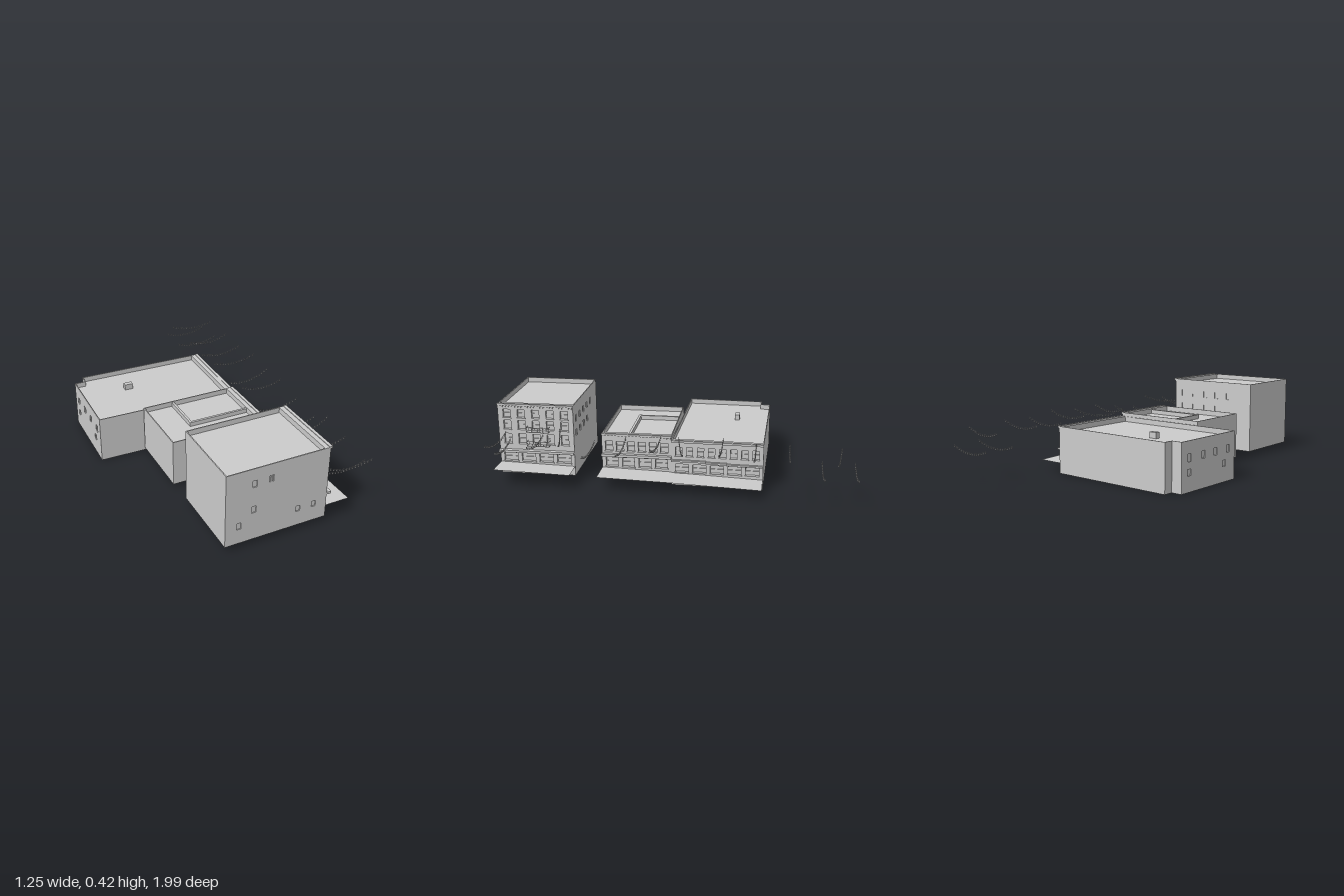
import * as THREE from 'three';

const mat = new THREE.MeshStandardMaterial({ color: 0xcccccc, side: THREE.DoubleSide, flatShading: true });
const smooth = new THREE.MeshStandardMaterial({ color: 0xcccccc });

function add(parent, name, geo, x = 0, y = 0, z = 0, m = mat) {
  const mesh = new THREE.Mesh(geo, m);
  mesh.name = name;
  mesh.position.set(x, y, z);
  parent.add(mesh);
  return mesh;
}

// Box given by its minimum and maximum corners
function block(parent, name, x0, y0, z0, x1, y1, z1) {
  return add(parent, name, new THREE.BoxGeometry(x1 - x0, y1 - y0, z1 - z0),
    (x0 + x1) / 2, (y0 + y1) / 2, (z0 + z1) / 2);
}

// Evenly spaced window openings: [centre, bottom, width, height]
function row(count, start, end, y, w, h) {
  return Array.from({ length: count }, (_, i) =>
    [start + (end - start) * (i + 0.5) / count, y, w, h]);
}

// Wall from a to b (left to right seen from outside) with recessed windows
function wall(parent, name, a, b, y0, y1, thick, windows = [], sills = false) {
  const dx = b[0] - a[0], dz = b[1] - a[1], len = Math.hypot(dx, dz);
  const g = new THREE.Group();
  g.name = name;
  g.position.set(a[0], 0, a[1]);
  g.rotation.y = Math.atan2(-dz, dx);
  parent.add(g);
  const shape = new THREE.Shape([[0, y0], [len, y0], [len, y1], [0, y1]].map(p => new THREE.Vector2(...p)));
  const recess = Math.min(thick * 0.9, 0.014);
  for (const [c, y, w, h] of windows) {
    const l = c - w / 2, r = c + w / 2;
    shape.holes.push(new THREE.Path([[l, y], [l, y + h], [r, y + h], [r, y]].map(p => new THREE.Vector2(...p))));
    add(g, 'windowPane', new THREE.PlaneGeometry(w, h), c, y + h / 2, -recess);
    if (sills) {
      block(g, 'windowSill', l - 0.004, y - 0.005, -0.004, r + 0.004, y, 0.006);
      block(g, 'windowRail', l, y + h / 2 - 0.0015, -recess, r, y + h / 2 + 0.0015, -recess + 0.005);
    }
  }
  const geo = new THREE.ExtrudeGeometry(shape, { depth: thick, bevelEnabled: false });
  geo.translate(0, 0, -thick);
  add(g, name + 'Surface', geo);
  return g;
}

// Open-bottomed building: street face on local x = 0, running along local z
function building(root, o) {
  const g = new THREE.Group();
  g.name = o.name;
  g.position.set(o.x, 0, o.z);
  g.rotation.y = o.turn;
  root.add(g);
  const { outline, length: L, y0, y1 } = o;
  const names = ['facade', 'backWall', ...(outline.length > 4 ? ['notchWall', 'notchReturn'] : []), 'farWall', 'frontWall'];
  outline.forEach((p, i) => {
    const q = outline[(i + 1) % outline.length];
    wall(g, names[i], p, q, y0, y1, i ? 0.005 : 0.03, o.windows[names[i]], i === 0);
  });
  // Roof sits below the parapet
  const roof = new THREE.ShapeGeometry(new THREE.Shape(outline.map(([x, z]) => new THREE.Vector2(x, -z))));
  roof.rotateX(-Math.PI / 2);
  add(g, 'roof', roof, 0, y1 - 0.028, 0);
  // Cornice with dentils, and the band above the shopfronts
  block(g, 'cornice', -0.006, y1 - 0.008, 0, 0.01, y1 + 0.003, L);
  for (let i = 0; i < o.dentils; i++) {
    const z = L * (i + 0.5) / o.dentils;
    block(g, 'dentil', 0, y1 - 0.017, z - 0.003, 0.006, y1 - 0.008, z + 0.003);
  }
  o.bands.forEach(([za, zb, y, h, d]) => block(g, 'shopfrontBand', 0, y, za, d, y + h, zb));
  // Gently sloping pavement along the street
  const [width, ya, yb] = o.pavement;
  const slab = new THREE.PlaneGeometry(width, L);
  slab.rotateX(-Math.PI / 2);
  add(g, 'pavement', slab, width / 2, (ya + yb) / 2, L / 2).rotation.x = -Math.atan2(yb - ya, L);
  return g;
}

// Platform with railings hung on the street face
function fireEscape(parent, y, z0, z1) {
  const g = new THREE.Group();
  g.name = 'fireEscape';
  parent.add(g);
  block(g, 'platform', 0, y, z0, 0.028, y + 0.003, z1);
  block(g, 'frontRail', 0.026, y + 0.026, z0, 0.028, y + 0.028, z1);
  for (const z of [z0, z1]) block(g, 'sideRail', 0, y + 0.026, z - 0.001, 0.028, y + 0.028, z + 0.001);
  for (let i = 0; i <= 8; i++) {
    const z = z0 + (z1 - z0) * i / 8;
    block(g, 'baluster', 0.0265, y, z - 0.0007, 0.0279, y + 0.027, z + 0.0007);
  }
}

// Sagging wire with hanging bulbs
const socketGeo = new THREE.CylinderGeometry(0.0017, 0.0022, 0.006, 6);
const bulbGeo = new THREE.SphereGeometry(0.0038, 8, 6);
function stringLights(root, x0, z0, x1, z1, y) {
  const g = new THREE.Group();
  g.name = 'stringLights';
  root.add(g);
  const at = t => new THREE.Vector3(x0 + (x1 - x0) * t, y + 0.016 + 0.006 * t - 0.11 * t * (1 - t), z0 + (z1 - z0) * t);
  const pts = Array.from({ length: 9 }, (_, i) => at(i / 8));
  add(g, 'wire', new THREE.TubeGeometry(new THREE.CatmullRomCurve3(pts), 20, 0.0007, 4), 0, 0, 0, smooth);
  for (let i = 0; i < 15; i++) {
    const p = at((i + 0.5) / 15);
    add(g, 'bulbSocket', socketGeo, p.x, p.y - 0.003, p.z, smooth);
    add(g, 'bulb', bulbGeo, p.x, p.y - 0.008, p.z, smooth);
  }
}

export function createModel() {
  const root = new THREE.Group();
  root.name = 'streetBlock';
  const rect = (d, l) => [[0, l], [0, 0], [-d, 0], [-d, l]];

  // Tall front building
  const tall = building(root, {
    name: 'tallBuilding', x: 0.3, z: 0.5, turn: 0.17, length: 0.41, y0: 0.03, y1: 0.42,
    outline: rect(0.535, 0.41), dentils: 24, pavement: [0.13, 0.082, 0.093],
    bands: [[0, 0.41, 0.155, 0.012, 0.025]],
    windows: {
      facade: [...row(5, 0.01, 0.4, 0.2, 0.04, 0.055), ...row(5, 0.01, 0.4, 0.28, 0.04, 0.05),
        ...row(5, 0.01, 0.4, 0.345, 0.04, 0.045), ...row(4, 0.01, 0.4, 0.1, 0.075, 0.045)],
      frontWall: [[0.145, 0.32, 0.022, 0.035], [0.222, 0.325, 0.008, 0.033], [0.237, 0.325, 0.008, 0.033],
        [0.145, 0.18, 0.022, 0.035], [0.07, 0.11, 0.022, 0.035], [0.38, 0.11, 0.022, 0.03], [0.465, 0.11, 0.022, 0.03]],
      backWall: [...row(5, 0.02, 0.42, 0.32, 0.024, 0.035), ...row(4, 0.02, 0.34, 0.24, 0.024, 0.035)],
    },
  });
  fireEscape(tall, 0.195, 0.13, 0.25);
  fireEscape(tall, 0.273, 0.13, 0.25);

  // Middle building with an L-shaped inner parapet
  const middle = building(root, {
    name: 'middleBuilding', x: 0.195, z: -0.01, turn: 0.17, length: 0.375, y0: 0.02, y1: 0.27,
    outline: rect(0.52, 0.375), dentils: 20, pavement: [0.15, 0.07, 0.08],
    bands: [[0, 0.375, 0.147, 0.014, 0.02]],
    windows: { facade: [...row(6, 0.01, 0.365, 0.175, 0.04, 0.055), ...row(4, 0.01, 0.365, 0.088, 0.065, 0.05)] },
  });
  block(middle, 'innerParapetLong', -0.36, 0.24, 0.222, -0.03, 0.265, 0.235);
  block(middle, 'innerParapetShort', -0.36, 0.24, 0.005, -0.347, 0.265, 0.222);

  // Low rear building with a notched corner
  const D = 0.71, E = 0.768, L = 0.485;
  const low = building(root, {
    name: 'lowBuilding', x: 0.13, z: -0.49, turn: 0.147, length: L, y0: 0, y1: 0.25,
    outline: [[0, L], [0, 0], [-D, 0], [-D, 0.052], [-E, 0.052], [-E, L]], dentils: 0,
    pavement: [0.143, 0.055, 0.07],
    bands: [[0, 0.19, 0.126, 0.009, 0.014], [0.19, 0.3, 0.131, 0.009, 0.014], [0.3, L, 0.136, 0.009, 0.014]],
    windows: {
      facade: [...row(8, 0.01, 0.475, 0.165, 0.034, 0.05), ...row(5, 0.01, 0.475, 0.075, 0.07, 0.045)],
      farWall: [0.06, 0.17, 0.27, 0.375].map(c => [c, 0.148, 0.026, 0.038])
        .concat([[0.06, 0.08, 0.026, 0.032], [0.345, 0.08, 0.026, 0.032]]),
    },
  });
  block(low, 'roofHatch', -0.52, 0.222, 0.165, -0.475, 0.253, 0.192);

  // Street lights: x, z at the wall end, x, z at the far end, mean height
  [[0.07, -0.953, 0.32, -0.995, 0.17], [0.085, -0.884, 0.35, -0.894, 0.25], [0.1, -0.788, 0.355, -0.836, 0.17],
    [0.13, -0.624, 0.375, -0.667, 0.255], [0.153, -0.455, 0.407, -0.497, 0.25], [0.18, -0.286, 0.44, -0.328, 0.27],
    [0.206, -0.053, 0.465, -0.153, 0.26], [0.243, 0.032, 0.48, 0.011, 0.27], [0.243, 0.228, 0.508, 0.185, 0.24],
    [0.28, 0.392, 0.54, 0.355, 0.22], [0.328, 0.566, 0.56, 0.466, 0.28], [0.354, 0.651, 0.58, 0.635, 0.255],
    [0.375, 0.836, 0.613, 0.799, 0.22], [0.38, 0.857, 0.623, 0.847, 0.255],
  ].forEach(s => stringLights(root, ...s));
  return root;
}
